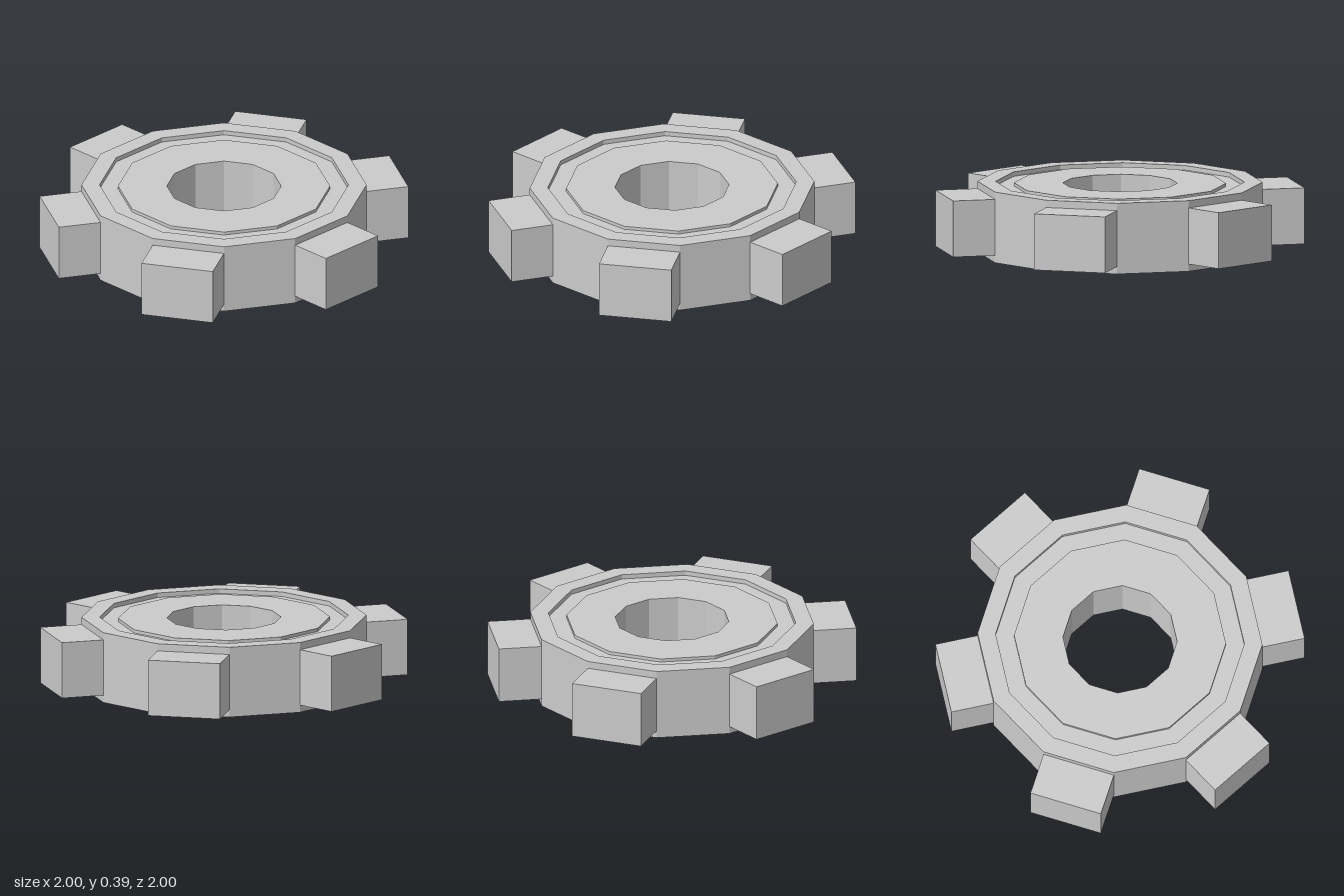
import * as THREE from 'three';

const SIDES = 12, TEETH = 6;
const R = 0.773, HEIGHT = 0.388, MID = HEIGHT / 2;

export function createModel() {
  const group = new THREE.Group();
  const material = new THREE.MeshStandardMaterial({ color: 0xcccccc, flatShading: true });

  // Ring body: half profile of the upper side, mirrored below, turned with 12 flat sides
  const upper = [
    [R, MID], [0.675, MID], [0.675, MID - 0.025],
    [0.575, MID - 0.025], [0.575, MID - 0.007], [0.31, MID - 0.007],
  ];
  const lower = upper.map(([r, y]) => [r, -y]).reverse();
  const profile = [...upper, ...lower, upper[0]].map(([r, y]) => new THREE.Vector2(r, y + MID));
  const body = new THREE.Mesh(new THREE.LatheGeometry(profile, SIDES), material);
  body.name = 'gearBody';
  group.add(body);

  // Square teeth on every second side of the body
  const half = Math.PI / SIDES;
  const apothem = R * Math.cos(half);
  const depth = 0.981 - apothem;
  const toothGeometry = new THREE.BoxGeometry(2 * R * Math.sin(half), 0.308, depth);
  toothGeometry.translate(0, MID, apothem + depth / 2);
  for (let i = 0; i < TEETH; i++) {
    const tooth = new THREE.Mesh(toothGeometry, material);
    tooth.name = `tooth${i + 1}`;
    tooth.rotation.y = half + (i * 2 * Math.PI) / TEETH;
    group.add(tooth);
  }
  return group;
}
